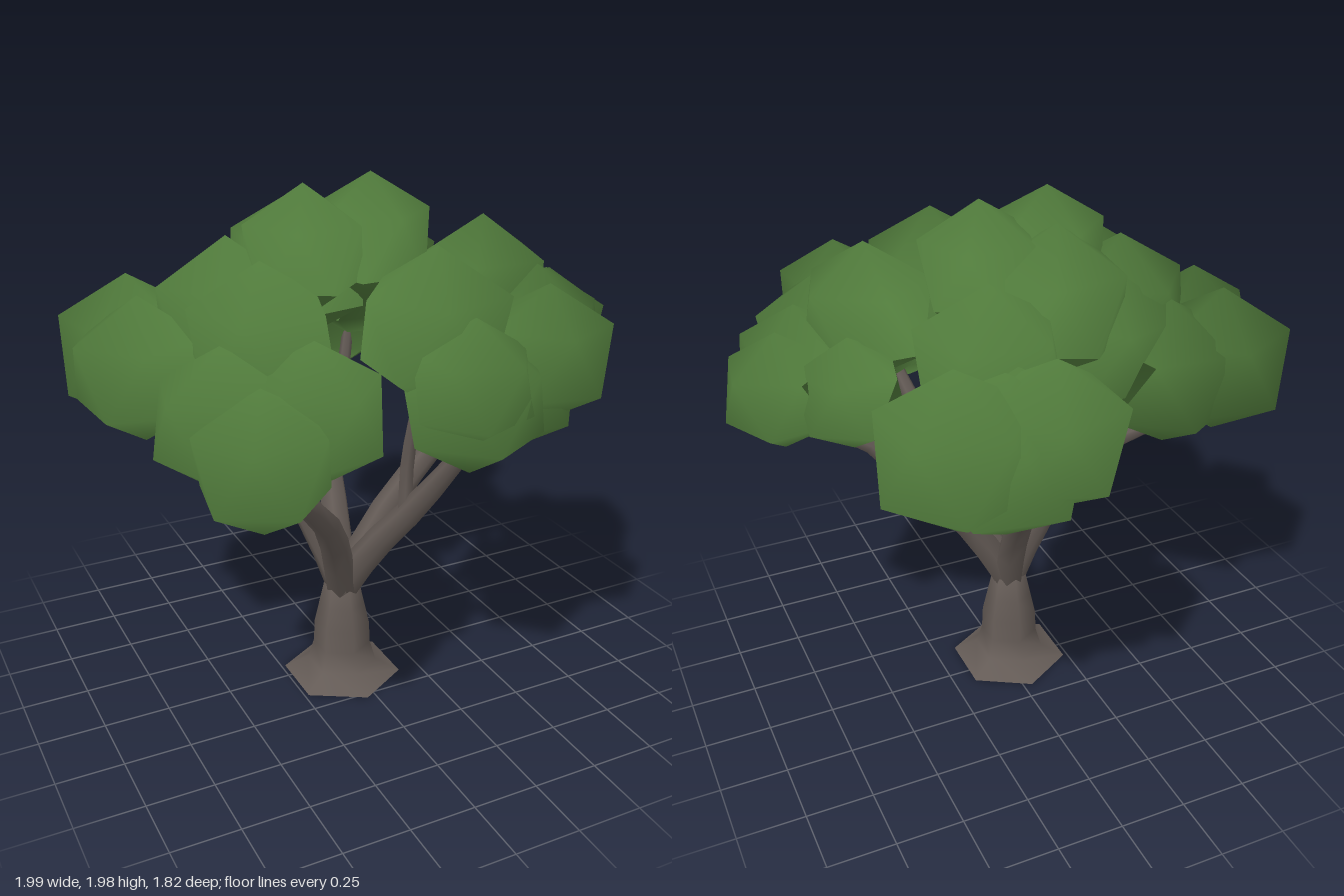
import * as THREE from 'three';

const bark = new THREE.MeshStandardMaterial({ color: 0x645b56 });
bark.name = 'bark';
const leaf = new THREE.MeshStandardMaterial({ color: 0x507a3b });
leaf.name = 'leaf green';

// Six-sided tube along a path, thinning from r0 to r1 mostly near the tip
function taperedBranch(points, r0, r1) {
  const curve = new THREE.CatmullRomCurve3(points.map(p => new THREE.Vector3(...p)), false, 'centripetal');
  const steps = 6, sides = 6;
  const geo = new THREE.TubeGeometry(curve, steps, 1, sides, false);
  const pos = geo.attributes.position;
  const v = new THREE.Vector3();
  for (let i = 0; i < pos.count; i++) {
    const t = Math.floor(i / (sides + 1)) / steps;
    const c = curve.getPointAt(t);
    v.fromBufferAttribute(pos, i).sub(c).multiplyScalar(r0 + (r1 - r0) * t ** 1.5).add(c);
    pos.setXYZ(i, v.x, v.y, v.z);
  }
  return geo;
}

// Icosahedral leaf ball standing on a corner, with smooth normals that follow the whole crown
const crownCentre = new THREE.Vector3(0, 1.15, 0);
const cornerUp = -Math.atan(2 / (1 + Math.sqrt(5)));
function leafBall(x, y, z, r, turn) {
  const geo = new THREE.IcosahedronGeometry(r, 0).rotateZ(cornerUp).rotateY(turn).translate(x, y, z);
  const pos = geo.attributes.position, nor = geo.attributes.normal;
  const centre = new THREE.Vector3(x, y, z), n = new THREE.Vector3(), out = new THREE.Vector3();
  for (let i = 0; i < pos.count; i++) {
    n.fromBufferAttribute(pos, i).sub(centre).normalize();
    out.fromBufferAttribute(pos, i).sub(crownCentre).normalize();
    n.multiplyScalar(0.4).add(out).normalize();
    nor.setXYZ(i, n.x, n.y, n.z);
  }
  return geo;
}

export function createModel() {
  const tree = new THREE.Group();
  tree.name = 'tree';
  const add = (parent, name, geo, mat) => {
    const mesh = new THREE.Mesh(geo, mat);
    mesh.name = name;
    parent.add(mesh);
    return mesh;
  };

  // Trunk with a flared foot, closed underneath
  const profile = [[0.23, 0], [0.135, 0.05], [0.112, 0.13], [0.108, 0.22], [0.088, 0.31], [0.064, 0.42], [0, 0.46]];
  const trunk = add(tree, 'trunk', new THREE.LatheGeometry(profile.map(p => new THREE.Vector2(...p)), 6), bark);
  trunk.position.set(-0.035, 0, 0.045);
  add(trunk, 'trunkUnderside', new THREE.CircleGeometry(0.23, 6, Math.PI / 6).rotateX(Math.PI / 2), bark);

  // Main limbs, each carrying one clump of leaves
  const limbs = new THREE.Group();
  limbs.name = 'limbs';
  tree.add(limbs);
  const root = [-0.035, 0.38, 0.05];
  const limbPaths = {
    frontLeftLimb: [root, [0.03, 0.58, 0.16], [0.13, 0.82, 0.33], [0.23, 1.16, 0.56]],
    frontRightLimb: [root, [-0.11, 0.58, 0.16], [-0.22, 0.8, 0.31], [-0.42, 1.02, 0.47], [-0.57, 1.11, 0.6]],
    leftLimb: [root, [0.12, 0.65, 0.06], [0.32, 0.89, 0.07], [0.5, 1.09, 0.12], [0.64, 1.17, 0.15]],
    backLimb: [root, [-0.01, 0.6, -0.05], [0.04, 0.85, -0.24], [0.1, 1.02, -0.43], [0.15, 1.12, -0.62]],
    rightLimb: [root, [-0.11, 0.6, 0.01], [-0.21, 0.81, -0.05], [-0.36, 1.02, -0.14], [-0.5, 1.13, -0.24]],
  };
  for (const [name, path] of Object.entries(limbPaths)) add(limbs, name, taperedBranch(path, 0.062, 0.026), bark);

  // Thin upright twigs
  const twigs = new THREE.Group();
  twigs.name = 'twigs';
  tree.add(twigs);
  [
    [[0.31, 0.86, 0.07], [0.33, 1.0, 0.0], [0.36, 1.3, -0.03]],
    [[-0.23, 0.79, 0.29], [-0.29, 0.98, 0.27], [-0.35, 1.3, 0.27]],
    [[-0.23, 0.8, -0.05], [-0.29, 1.0, -0.01], [-0.34, 1.3, 0.0]],
    [[0.03, 0.82, -0.2], [0.07, 0.98, -0.21], [0.14, 1.35, -0.25]],
    [[0.11, 0.78, 0.28], [0.11, 0.98, 0.29], [0.12, 1.3, 0.36]],
  ].forEach(path => add(twigs, 'twig', taperedBranch(path, 0.03, 0.02), bark));

  // Leaf clumps: x, y, z, radius of each ball
  const clumps = {
    backClump: [
      [0.14, 1.44, -0.69, 0.26], [0.46, 1.43, -0.65, 0.28], [0.28, 1.36, -0.62, 0.29],
      [0.2, 1.53, -0.31, 0.28], [0.19, 1.37, -0.46, 0.28],
    ],
    topClump: [[0.09, 1.74, 0.02, 0.24], [-0.2, 1.74, 0.09, 0.235], [-0.13, 1.63, -0.13, 0.28]],
    rightClump: [
      [-0.44, 1.52, -0.02, 0.28], [-0.36, 1.44, -0.16, 0.27], [-0.76, 1.37, -0.02, 0.26],
      [-0.72, 1.36, -0.28, 0.28], [-0.52, 1.34, -0.26, 0.28],
    ],
    frontRightClump: [
      [-0.44, 1.51, 0.28, 0.27], [-0.64, 1.32, 0.43, 0.25], [-0.61, 1.27, 0.68, 0.24], [-0.37, 1.33, 0.54, 0.25],
    ],
    frontLeftClump: [
      [0.09, 1.54, 0.49, 0.28], [0.1, 1.42, 0.72, 0.22], [0.43, 1.45, 0.64, 0.24],
      [0.15, 1.34, 0.64, 0.27], [0.35, 1.33, 0.55, 0.25],
    ],
    leftClump: [
      [0.45, 1.57, 0.19, 0.26], [0.59, 1.37, -0.02, 0.21], [0.8, 1.36, 0.12, 0.22],
      [0.56, 1.41, 0.38, 0.27], [0.7, 1.38, 0.24, 0.24],
    ],
  };
  let count = 0;
  for (const [name, balls] of Object.entries(clumps)) {
    const clump = new THREE.Group();
    clump.name = name;
    tree.add(clump);
    for (const [x, y, z, r] of balls) add(clump, 'leafBall', leafBall(x, y, z, r, 0.7 * count++), leaf);
  }
  return tree;
}
